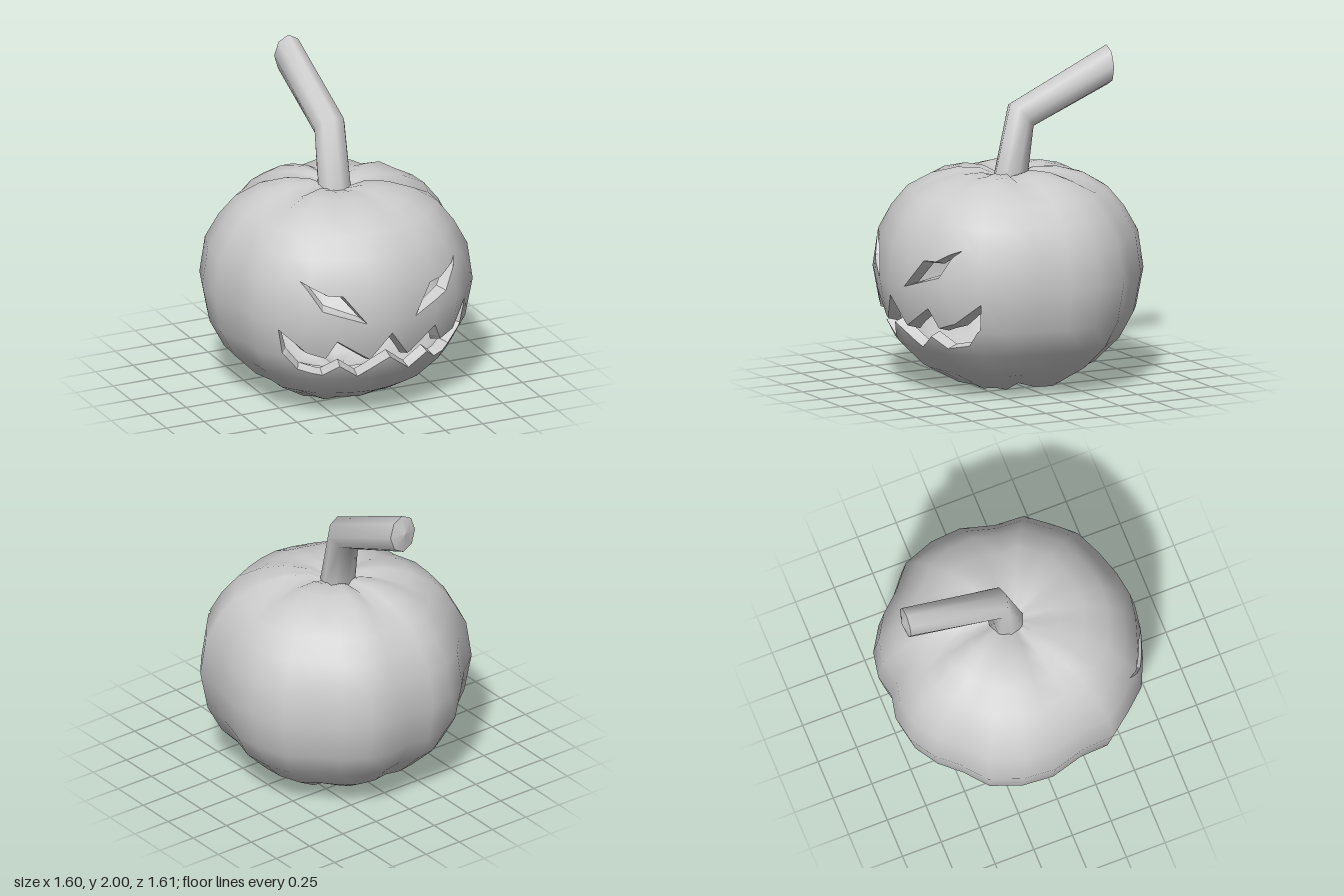
import * as THREE from 'three';

const skin = new THREE.MeshStandardMaterial({ color: 0xcccccc, side: THREE.DoubleSide });
skin.name = 'pale grey';

// Half of the lobed plan outline [x, z], from front to back
const HALF = [[0, 0.8], [0.16, 0.775], [0.33, 0.72], [0.5, 0.645], [0.62, 0.51], [0.73, 0.37], [0.74, 0.18],
  [0.8, -0.03], [0.785, -0.23], [0.71, -0.43], [0.56, -0.555], [0.45, -0.68], [0.3, -0.775], [0.14, -0.805], [0, -0.775]];
const mirror = (pts) => pts.map(([x, y]) => [-x, y]).reverse();
const OUTLINE = [...HALF, ...mirror(HALF).slice(1, -1)];

// Profile from bottom to top: [share of the plan radius, height]
const PROFILE = [[0, 0.035], [0.2, 0.01], [0.4, 0.01], [0.66, 0.135], [0.84, 0.28], [0.945, 0.44], [1, 0.68],
  [0.96, 0.91], [0.86, 1.06], [0.74, 1.18], [0.56, 1.265], [0.37, 1.305], [0.2, 1.305], [0.06, 1.26], [0, 1.26]];

// Carved openings, counter-clockwise in front projection
const EYE = [[0.51, 0.94], [0.375, 0.86], [0.29, 0.855], [0.16, 0.68], [0.41, 0.765]];
const UPPER = [[0.62, 0.62], [0.49, 0.49], [0.38, 0.45], [0.325, 0.566], [0.125, 0.43]];
const LOWER = [[0.17, 0.3], [0.29, 0.386], [0.37, 0.317], [0.5, 0.35], [0.59, 0.46]];
const MOUTH = [...UPPER, [0, 0.6], ...mirror(UPPER), ...mirror(LOWER), [0, 0.434], ...LOWER];
const HOLES = { leftEye: EYE, rightEye: mirror(EYE), mouth: MOUTH };

// Opening on the inner shell: narrower, and drawn toward the centre line
function inset(loop, d) {
  const n = loop.length;
  const normal = (a, b) => new THREE.Vector2(a[1] - b[1], b[0] - a[0]).normalize();
  return loop.map((p, i) => {
    const n1 = normal(loop[(i + n - 1) % n], p), n2 = normal(p, loop[(i + 1) % n]);
    const m = n1.clone().add(n2).normalize();
    const k = d / Math.max(0.5, m.dot(n1));
    return [(p[0] + m.x * k) * 0.95, p[1] + m.y * k];
  });
}

// Smooth triangles of the lobed body; each corner is [x, y, z, nx, ny, nz]
function bodyTriangles(scale, flip) {
  const n = OUTLINE.length, pos = [], index = [];
  for (const [s, y] of PROFILE) {
    for (const [x, z] of OUTLINE) {
      const groove = s > 0.1 && s < 0.6 ? (0.82 - Math.hypot(x, z)) * 0.6 : 0;
      const h = Math.max(0, y + (y > 0.7 ? -groove : groove));
      pos.push(x * s * scale, 0.66 + (h - 0.66) * scale, z * s * scale);
    }
  }
  for (let j = 0; j < PROFILE.length - 1; j++) {
    for (let i = 0; i < n; i++) {
      const a = j * n + i, b = j * n + (i + 1) % n, c = b + n, d = a + n;
      if (j > 0) index.push(a, b, d);
      if (j < PROFILE.length - 2) index.push(b, c, d);
      if (j === 0) index.push(a, c, d);
      if (j === PROFILE.length - 2) index.push(a, b, d);
    }
  }
  const g = new THREE.BufferGeometry();
  g.setAttribute('position', new THREE.Float32BufferAttribute(pos, 3));
  g.setIndex(index);
  g.computeVertexNormals();
  const nor = g.attributes.normal.array, sign = flip ? -1 : 1;
  const corner = (k) => [...pos.slice(k * 3, k * 3 + 3), ...Array.from(nor.slice(k * 3, k * 3 + 3), (v) => v * sign)];
  const tris = [];
  for (let i = 0; i < index.length; i += 3) {
    const t = [corner(index[i]), corner(index[i + 1]), corner(index[i + 2])];
    tris.push(flip ? t.reverse() : t);
  }
  return tris;
}

const side = (a, b, p) => (b[0] - a[0]) * (p[1] - a[1]) - (b[1] - a[1]) * (p[0] - a[0]);

// Split a polygon by the line a-b into its left and right parts
function split(poly, a, b) {
  const left = [], right = [];
  poly.forEach((p, i) => {
    const q = poly[(i + 1) % poly.length], sp = side(a, b, p), sq = side(a, b, q);
    if (sp >= 0) left.push(p);
    if (sp <= 0) right.push(p);
    if (sp * sq < 0) {
      const t = sp / (sp - sq), m = p.map((v, k) => v + (q[k] - v) * t);
      left.push(m);
      right.push(m);
    }
  });
  return [left, right];
}

// Cut the openings out of the front half of a shell
function carve(tris, loops) {
  const cutters = [];
  for (const loop of loops) {
    const pts = loop.map(([x, y]) => new THREE.Vector2(x, y));
    for (const f of THREE.ShapeUtils.triangulateShape(pts, [])) {
      const t = f.map((k) => loop[k]);
      cutters.push(side(t[0], t[1], t[2]) < 0 ? t.reverse() : t);
    }
  }
  let result = [];
  for (const tri of tris) {
    let parts = [tri];
    if (tri[0][2] + tri[1][2] + tri[2][2] > 0.2) {
      for (const c of cutters) {
        parts = parts.flatMap((poly) => {
          const out = [];
          let rest = poly;
          for (let e = 0; e < 3 && rest.length > 2; e++) {
            const [inside, outside] = split(rest, c[e], c[(e + 1) % 3]);
            if (outside.length > 2) out.push(outside);
            rest = inside;
          }
          return rest.length > 2 ? out : [poly];
        });
      }
    }
    result.push(...parts);
  }
  const pos = [], nor = [];
  for (const poly of result) {
    for (let i = 1; i < poly.length - 1; i++) {
      for (const v of [poly[0], poly[i], poly[i + 1]]) {
        pos.push(v[0], v[1], v[2]);
        nor.push(v[3], v[4], v[5]);
      }
    }
  }
  const g = new THREE.BufferGeometry();
  g.setAttribute('position', new THREE.Float32BufferAttribute(pos, 3));
  g.setAttribute('normal', new THREE.Float32BufferAttribute(nor, 3));
  return g;
}

// Front-most point of a shell at (x, y)
function onShell(tris, x, y) {
  let z = 0;
  for (const [a, b, c] of tris) {
    const area = side(a, b, c), p = [x, y];
    if (Math.abs(area) < 1e-9) continue;
    const u = side(b, c, p) / area, v = side(c, a, p) / area, w = 1 - u - v;
    if (Math.min(u, v, w) >= -1e-6) z = Math.max(z, u * a[2] + v * b[2] + w * c[2]);
  }
  return [x, y, z];
}

// Cut faces joining the outer and inner outlines of one opening
function cutWall(outer, inner, outerTris, innerTris) {
  const pos = [], steps = 6, n = outer.length;
  const at = (loop, tris, i, t) => {
    const a = loop[i], b = loop[(i + 1) % n];
    return onShell(tris, a[0] + (b[0] - a[0]) * t, a[1] + (b[1] - a[1]) * t);
  };
  for (let i = 0; i < n; i++) {
    for (let k = 0; k < steps; k++) {
      const a = at(outer, outerTris, i, k / steps), b = at(outer, outerTris, i, (k + 1) / steps);
      const c = at(inner, innerTris, i, (k + 1) / steps), d = at(inner, innerTris, i, k / steps);
      pos.push(...a, ...b, ...c, ...a, ...c, ...d);
    }
  }
  const g = new THREE.BufferGeometry();
  g.setAttribute('position', new THREE.Float32BufferAttribute(pos, 3));
  g.computeVertexNormals();
  return g;
}

// Eight-sided bent stalk: rings of [centre y, z, half-height y, z, half-width]
const RINGS = [[1.22, -0.025, 0, 0.11, 0.105], [1.62, -0.1, 0.08, 0.07, 0.1], [1.878, -0.685, 0.122, 0.005, 0.092]];
function stalkGeometry(rings) {
  const pos = [], index = [];
  for (const [y, z, hy, hz, w] of rings) {
    for (let i = 0; i < 8; i++) {
      const a = i * Math.PI / 4;
      pos.push(Math.sin(a) * w, y + Math.cos(a) * hy, z + Math.cos(a) * hz);
    }
  }
  for (let j = 0; j < rings.length - 1; j++) {
    for (let i = 0; i < 8; i++) {
      const a = j * 8 + i, b = j * 8 + (i + 1) % 8;
      index.push(a, b, b + 8, a, b + 8, a + 8);
    }
  }
  const g = new THREE.BufferGeometry();
  g.setAttribute('position', new THREE.Float32BufferAttribute(pos, 3));
  g.setIndex(index);
  g.computeVertexNormals();
  return g;
}

export function createModel() {
  const model = new THREE.Group();
  const add = (name, geometry) => {
    const mesh = new THREE.Mesh(geometry, skin);
    mesh.name = name;
    model.add(mesh);
  };

  // Hollow body with carved face
  const outerTris = bodyTriangles(1, false), innerTris = bodyTriangles(0.91, true);
  const loops = Object.values(HOLES), innerLoops = loops.map((l) => inset(l, 0.02));
  add('outerShell', carve(outerTris, loops));
  add('innerShell', carve(innerTris, innerLoops));
  Object.keys(HOLES).forEach((name, i) => add(name + 'Cut', cutWall(loops[i], innerLoops[i], outerTris, innerTris)));

  // Stalk and its slightly pointed end
  add('stalk', stalkGeometry(RINGS));
  add('stalkEnd', stalkGeometry([RINGS[2], [1.885, -0.71, 0.001, 0, 0.001]]));
  return model;
}
